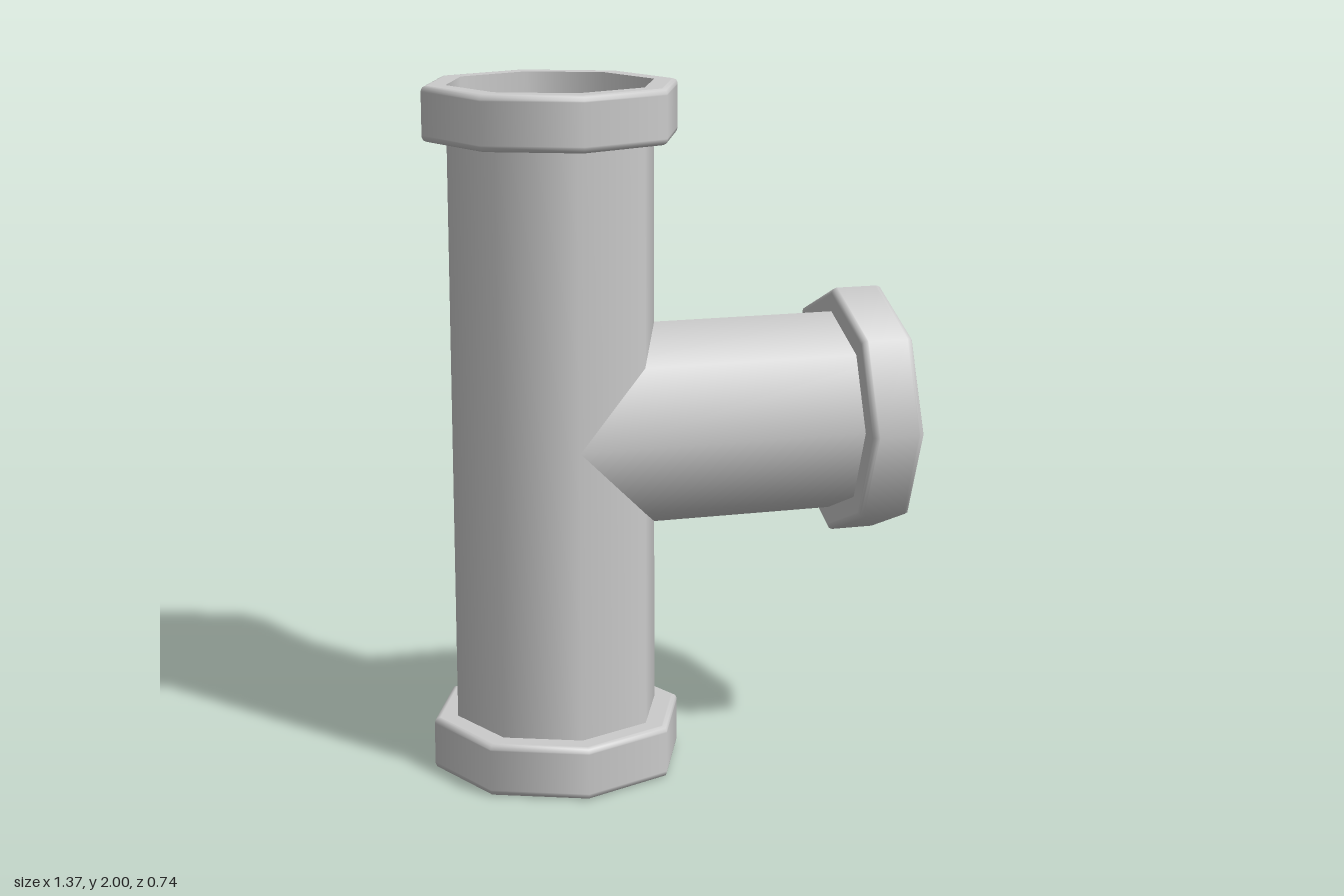
import * as THREE from 'three';

const SIDES = 8, PIPE_R = 0.3, COLLAR_R = 0.37, COLLAR_H = 0.155, BEVEL = 0.014, AXIS_X = -0.315;

export function createModel() {
  const group = new THREE.Group();
  group.name = 'pipeTee';
  const material = new THREE.MeshStandardMaterial({ color: 0xcccccc, side: THREE.DoubleSide });

  // Eight-sided surface turned around y, smooth around its sides
  const turned = (name, profile) => {
    const points = profile.map(([r, y]) => new THREE.Vector2(r, y));
    const mesh = new THREE.Mesh(new THREE.LatheGeometry(points, SIDES), material);
    mesh.name = name;
    return mesh;
  };

  // Thin open tube standing on y = 0
  const tube = (name, length) => turned(name, [[PIPE_R, 0], [PIPE_R, length]]);

  // Collar with bevelled rims; extra rings beside the bevels keep the faces flat
  const collar = (name, y) => {
    const half = [
      [PIPE_R, 0],
      [COLLAR_R - BEVEL - 0.004, 0],
      [COLLAR_R - BEVEL, 0],
      [COLLAR_R - BEVEL * 0.3, BEVEL * 0.3],
      [COLLAR_R, BEVEL],
      [COLLAR_R, BEVEL + 0.004],
    ];
    const upper = half.map(([r, h]) => [r, COLLAR_H - h]).reverse();
    const mesh = turned(name, [...half, ...upper]);
    mesh.position.y = y;
    return mesh;
  };

  // Upright main pipe with a collar at each end
  const main = new THREE.Group();
  main.name = 'mainPipe';
  main.add(tube('mainTube', 2), collar('bottomCollar', 0), collar('topCollar', 2 - COLLAR_H));
  main.position.x = AXIS_X;

  // Side branch, starting at the main pipe's axis and running toward +x
  const branch = new THREE.Group();
  branch.name = 'branchPipe';
  branch.add(tube('branchTube', 1), collar('branchCollar', 1 - COLLAR_H));
  branch.rotation.z = -Math.PI / 2;
  branch.position.set(AXIS_X, 1, 0);

  group.add(main, branch);
  return group;
}
